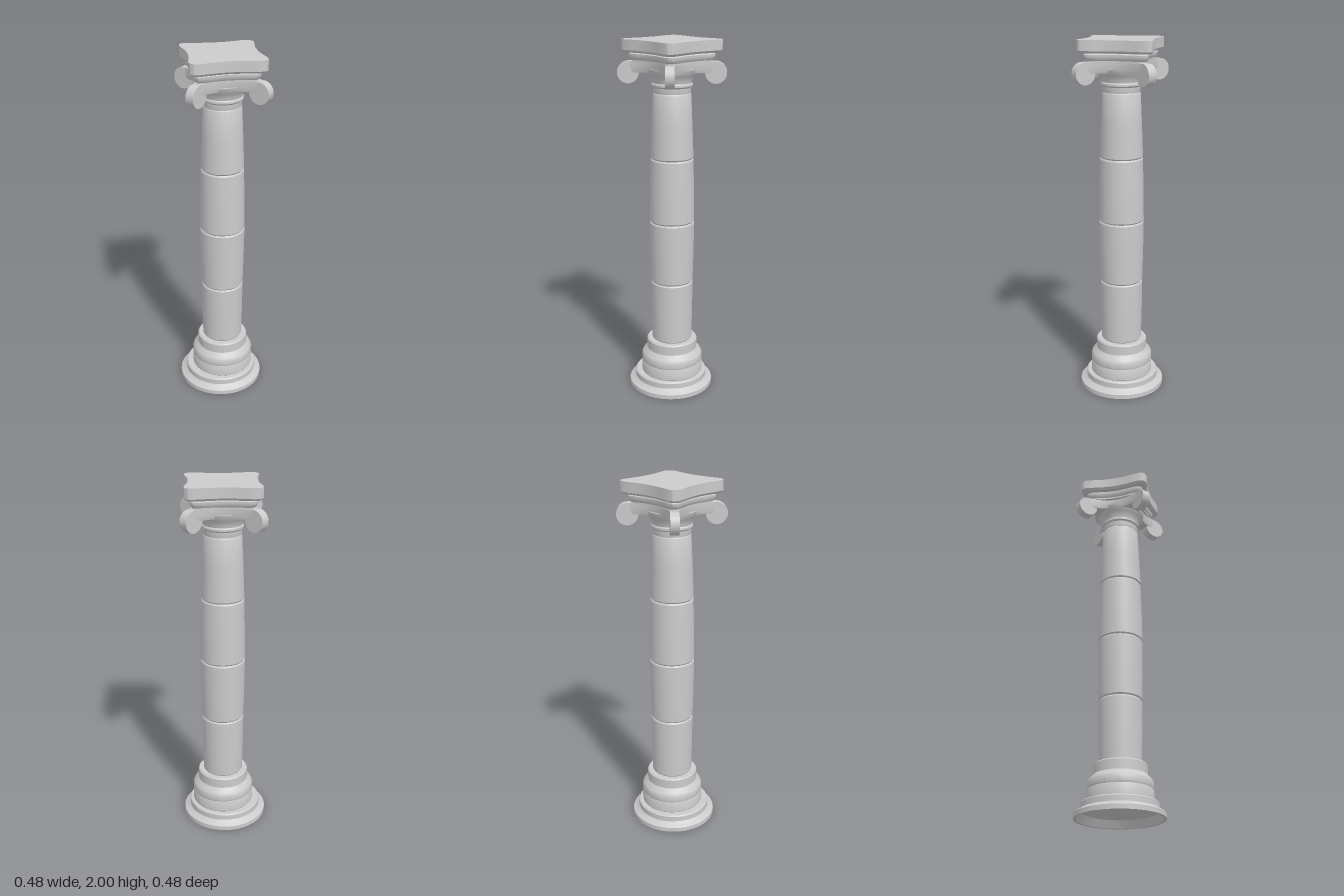
import * as THREE from 'three';
import { toCreasedNormals } from 'three/addons/utils/BufferGeometryUtils.js';

const material = new THREE.MeshStandardMaterial({ color: 0xcccccc });
const vec = ([x, y]) => new THREE.Vector2(x, y);

function addMesh(parent, name, geometry, crease = 0.6) {
  const mesh = new THREE.Mesh(toCreasedNormals(geometry, crease), material);
  mesh.name = name;
  parent.add(mesh);
  return mesh;
}

// Round part from [radius, height] points, bottom to top
const turned = (points) => new THREE.LatheGeometry(points.map(vec), 56);

// Repeats one side's outline on all four sides
function fourSided(side) {
  const points = [];
  for (let k = 0; k < 4; k++) {
    for (const p of side) points.push(vec(p).rotateAround(new THREE.Vector2(), k * Math.PI / 2));
  }
  return points;
}

// Horizontal slab of a plan outline through [scale, height] levels
function moulding(outline, levels) {
  const n = outline.length, positions = [], index = [];
  for (const [s, y] of levels) for (const p of outline) positions.push(p.x * s, y, -p.y * s);
  for (let l = 0; l < levels.length - 1; l++) {
    for (let i = 0; i < n; i++) {
      const a = l * n + i, b = l * n + (i + 1) % n;
      index.push(a, b, b + n, a, b + n, a + n);
    }
  }
  const top = (levels.length - 1) * n;
  for (const [a, b, c] of THREE.ShapeUtils.triangulateShape(outline, [])) {
    index.push(a, c, b, top + a, top + b, top + c);
  }
  const geometry = new THREE.BufferGeometry();
  geometry.setAttribute('position', new THREE.Float32BufferAttribute(positions, 3));
  geometry.setIndex(index);
  return geometry;
}

export function createModel() {
  const model = new THREE.Group();
  model.name = 'column';

  // Plinth with a hollow underside
  addMesh(model, 'plinth', turned([
    [0, 0.04], [0.2, 0.04], [0.225, 0], [0.241, 0], [0.241, 0.025], [0.232, 0.032],
    [0.212, 0.04], [0.206, 0.048], [0.206, 0.078], [0.2, 0.084], [0, 0.084],
  ]));

  // Everything above the plinth sits slightly off its centre
  const upper = new THREE.Group();
  upper.name = 'upperColumn';
  upper.position.x = 0.01;
  model.add(upper);

  addMesh(upper, 'baseRings', turned([
    [0, 0.08], [0.17, 0.08], [0.176, 0.088], [0.176, 0.145], [0.172, 0.153], [0.175, 0.16],
    [0.175, 0.19], [0.168, 0.205], [0.15, 0.222], [0.144, 0.23], [0.144, 0.283],
    [0.138, 0.29], [0, 0.29],
  ]));

  // Four shaft drums with small grooves at the joints
  const joints = [0.288, 0.646, 1.002, 1.362, 1.722];
  const radii = [0.114, 0.119, 0.125, 0.118, 0.103];
  for (let i = 0; i < 4; i++) {
    const y0 = joints[i], y1 = joints[i + 1], r0 = radii[i], r1 = radii[i + 1];
    const mid = (r0 + r1) / 2 + 0.001;
    addMesh(upper, 'shaftDrum', turned([
      [0, y0], [r0 - 0.006, y0], [r0, y0 + 0.008], [mid, (y0 + y1) / 2],
      [r1, y1 - 0.008], [r1 - 0.006, y1], [0, y1],
    ]));
  }

  // Neck ring and flaring bell
  addMesh(upper, 'neck', turned([
    [0, 1.72], [0.1, 1.72], [0.102, 1.73], [0.103, 1.75], [0.111, 1.758], [0.111, 1.768],
    [0.106, 1.775], [0.11, 1.792], [0.12, 1.812], [0.136, 1.832], [0.14, 1.85], [0, 1.85],
  ]));

  // Concave band sweeping between the volutes
  const bandSide = [];
  for (let i = 0; i <= 12; i++) {
    const t = (i / 6 - 1);
    bandSide.push([0.128 + 0.046 * t * t, 0.142 * t]);
  }
  addMesh(upper, 'capitalBand', moulding(fourSided(bandSide), [[0.95, 1.828], [1, 1.845], [1, 1.887]]));

  // Corner volutes: a disc hanging from a curved strap
  const volute = new THREE.Shape();
  volute.moveTo(0.06, 1.886);
  volute.lineTo(0.06, 1.83);
  volute.lineTo(0.13, 1.83);
  volute.quadraticCurveTo(0.16, 1.86, 0.178, 1.838);
  volute.absarc(0.234, 1.828, 0.058, Math.PI * 0.95, Math.PI * 2.5, false);
  volute.closePath();
  for (let k = 0; k < 4; k++) {
    const geometry = new THREE.ExtrudeGeometry(volute, { depth: 0.047, bevelEnabled: false, curveSegments: 28 });
    geometry.translate(0, 0, -0.0235);
    addMesh(upper, 'volute', geometry).rotation.y = Math.PI / 4 + k * Math.PI / 2;
  }

  // Abacus with concave sides and rounded corners, over a stepped moulding
  const plan = fourSided([
    [0.2, -0.155], [0.19, -0.1], [0.183, -0.06], [0.18, -0.03], [0.18, 0.03],
    [0.183, 0.06], [0.19, 0.1], [0.2, 0.155], [0.196, 0.18], [0.18, 0.196],
  ]);
  addMesh(upper, 'abacusMoulding', moulding(plan, [
    [0.8, 1.883], [0.8, 1.893], [0.84, 1.902], [0.86, 1.915], [0.86, 1.925], [0.82, 1.93], [0.82, 1.94],
  ]));
  addMesh(upper, 'abacus', moulding(plan, [[0.94, 1.933], [1, 1.945], [1, 2]]));

  return model;
}
